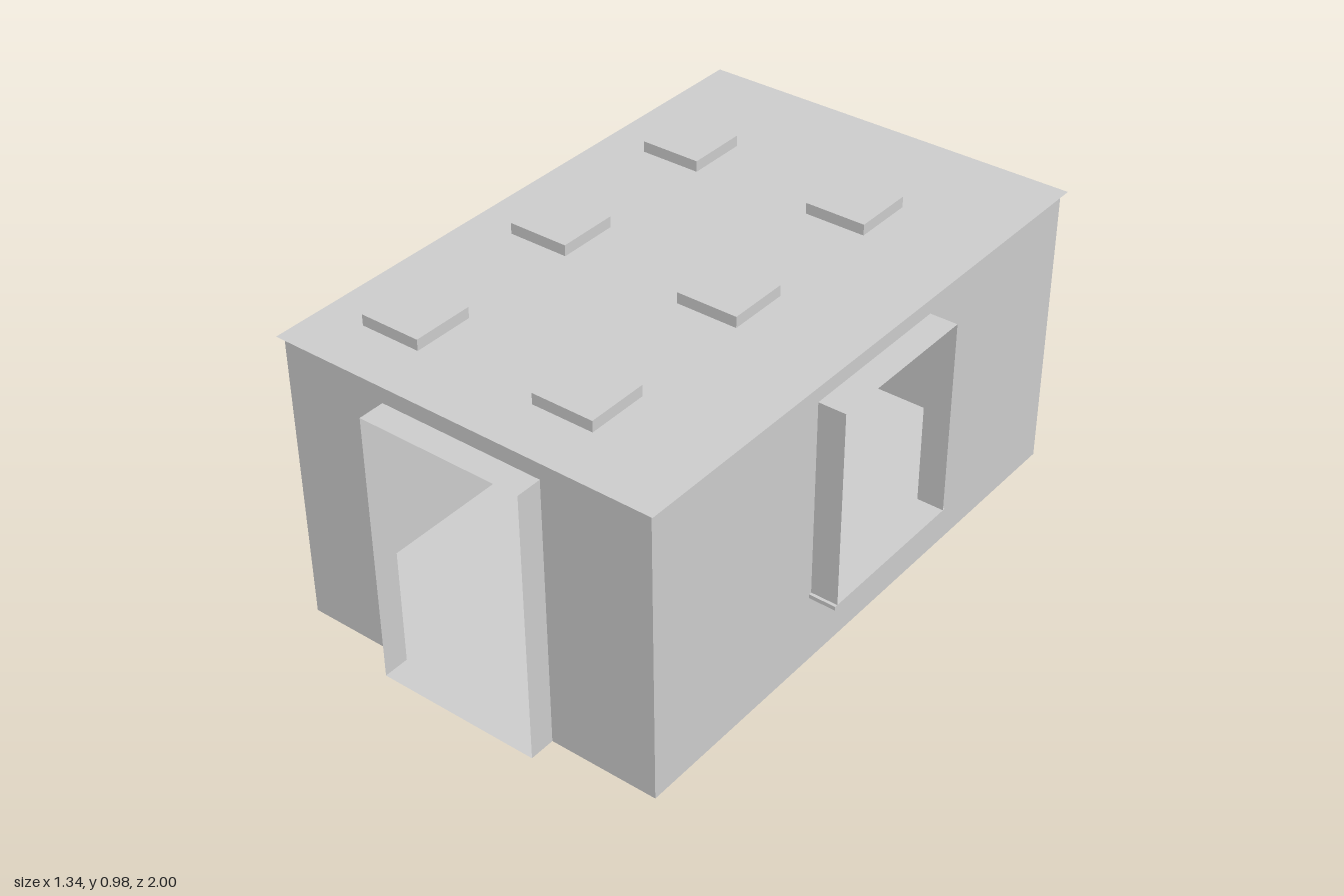
import * as THREE from 'three';

const material = new THREE.MeshStandardMaterial({ color: 0xcccccc, side: THREE.DoubleSide, flatShading: true });

// Room shell: wall planes, roof overhang and opening sizes
const X0 = -0.653, X1 = 0.58, Z0 = -0.983, Z1 = 0.917, H = 0.94, EAVE = 0.015;
const OUT_X = 0.667, OUT_Z = 1, LINTEL = 0.875, SILL = 0.24;
const DOOR = [-0.304, 0.229], WINDOW = [-0.298, 0.23];
const LIGHT = 0.198, LIGHT_H = 0.035;

const rect = (a0, b0, a1, b1) => [[a0, b0], [a1, b0], [a1, b1], [a0, b1]];

// Thin sheet: 'x' takes (z, y) points, 'y' takes (x, z) points, 'z' takes (x, y) points
function sheet(name, axis, offset, points, holes = []) {
  const toVectors = (list) => list.map(([a, b]) => new THREE.Vector2(a, b));
  const shape = new THREE.Shape(toVectors(points));
  holes.forEach((h) => shape.holes.push(new THREE.Path(toVectors(h))));
  const geometry = new THREE.ShapeGeometry(shape);
  if (axis === 'x') geometry.rotateY(-Math.PI / 2).translate(offset, 0, 0);
  if (axis === 'y') geometry.rotateX(Math.PI / 2).translate(0, offset, 0);
  if (axis === 'z') geometry.translate(0, 0, offset);
  const mesh = new THREE.Mesh(geometry, material);
  mesh.name = name;
  return mesh;
}

function group(name, ...parts) {
  const g = new THREE.Group();
  g.name = name;
  g.add(...parts);
  return g;
}

export function createModel() {
  const [d0, d1] = DOOR, [w0, w1] = WINDOW;

  // Floor runs out to the front of the door surround
  const floor = sheet('floor', 'y', 0, [
    [X0, Z0], [X1, Z0], [X1, Z1], [d1, Z1], [d1, OUT_Z], [d0, OUT_Z], [d0, Z1], [X0, Z1],
  ]);

  // Walls with door and window openings
  const walls = group('walls',
    sheet('frontWall', 'z', Z1, [
      [X0, 0], [d0, 0], [d0, LINTEL], [d1, LINTEL], [d1, 0], [X1, 0], [X1, H], [X0, H],
    ]),
    sheet('backWall', 'z', Z0, rect(X0, 0, X1, H)),
    sheet('rightWall', 'x', X0, rect(Z0, 0, Z1, H)),
    sheet('leftWall', 'x', X1, rect(Z0, 0, Z1, H), [rect(w0, SILL, w1, LINTEL)]));

  // Door surround: open tunnel of two jambs and a lintel
  const doorFrame = group('doorFrame',
    ...DOOR.map((x) => sheet('doorJamb', 'x', x, rect(Z1, 0, OUT_Z, LINTEL))),
    sheet('doorLintel', 'y', LINTEL, rect(d0, Z1, d1, OUT_Z)));

  // Window surround with a slightly wider sill
  const sill = new THREE.Mesh(new THREE.BoxGeometry(OUT_X - X1, 0.013, w1 - w0 + 0.02), material);
  sill.name = 'windowSill';
  sill.position.set((X1 + OUT_X) / 2, SILL - 0.0065, (w0 + w1) / 2);
  const windowFrame = group('windowFrame', sill,
    ...WINDOW.map((z) => sheet('windowJamb', 'z', z, rect(X1, SILL, OUT_X, LINTEL))),
    sheet('windowLintel', 'y', LINTEL, rect(X1, w0, OUT_X, w1)));

  // Skylights: shallow caps over square holes in the roof
  const skylights = group('skylights');
  const holes = [];
  for (const x of [-0.426, 0.165]) {
    for (const z of [-0.534, 0.062, 0.655]) {
      const r = LIGHT / 2, top = H + LIGHT_H;
      holes.push(rect(x - r, z - r, x + r, z + r));
      skylights.add(group('skylight',
        sheet('skylightTop', 'y', top, rect(x - r, z - r, x + r, z + r)),
        ...[-r, r].flatMap((s) => [
          sheet('skylightSide', 'x', x + s, rect(z - r, H, z + r, top)),
          sheet('skylightSide', 'z', z + s, rect(x - r, H, x + r, top)),
        ])));
    }
  }

  // Roof overhangs the walls all round
  const roof = sheet('roof', 'y', H, rect(X0 - EAVE, Z0 - EAVE, X1 + EAVE, Z1 + EAVE), holes);

  return group('room', floor, walls, doorFrame, windowFrame, roof, skylights);
}
